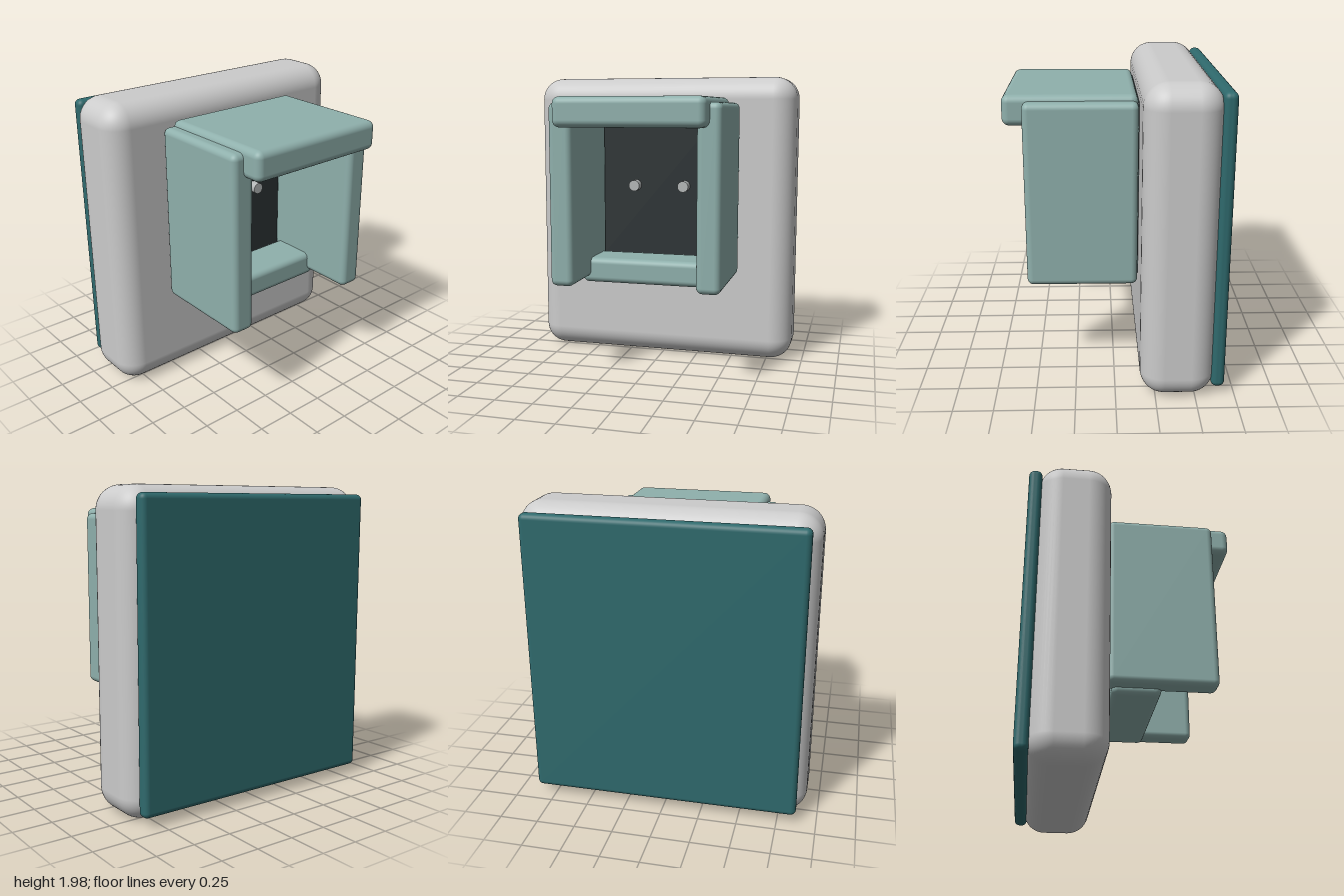
import * as THREE from 'three';
import { RoundedBoxGeometry } from 'three/addons/geometries/RoundedBoxGeometry.js';

const material = (color) => new THREE.MeshStandardMaterial({ color });

export function createModel() {
  const model = new THREE.Group();
  model.name = 'wallDock';

  const shell = material(0xd3d7d5);
  const sage = material(0x8fb0ac);
  const teal = material(0x2f6a6d);
  const dark = material(0x2b3234);
  const metal = material(0xb4b8b8);

  // Rounded box given by its extents on each axis
  function block(name, mat, [x0, x1], [y0, y1], [z0, z1], radius, segments = 4) {
    const geometry = new RoundedBoxGeometry(x1 - x0, y1 - y0, z1 - z0, segments, radius);
    const mesh = new THREE.Mesh(geometry, mat);
    mesh.position.set((x0 + x1) / 2, (y0 + y1) / 2, (z0 + z1) / 2);
    mesh.name = name;
    model.add(mesh);
    return mesh;
  }

  // Main housing and the plate on its back
  block('housing', shell, [-0.925, 0.925], [0.02, 2.0], [-0.62, -0.155], 0.15, 6);
  block('backPlate', teal, [-0.87, 0.87], [0.08, 1.95], [-0.685, -0.6], 0.035);

  // Dark panel at the back of the cradle
  block('contactPanel', dark, [-0.47, 0.47], [0.69, 1.81], [-0.18, -0.14], 0.01, 2);

  // Cradle: top hood and short bottom ledge
  block('cradleTop', sage, [-0.485, 0.485], [1.67, 1.86], [-0.148, 0.682], 0.045);
  block('cradleLedge', sage, [-0.465, 0.465], [0.605, 0.775], [-0.113, 0.203], 0.04);

  for (const [side, s] of [['left', 1], ['right', -1]]) {
    // Cradle side wall
    const wall = block(side + 'CradleWall', sage, [0.402, 0.558], [0.645, 1.825], [-0.148, 0.555], 0.04);
    wall.position.x *= s;

    // Contact pin standing out of the panel
    const pin = new THREE.Mesh(new THREE.CylinderGeometry(0.038, 0.038, 0.08, 24), metal);
    pin.rotation.x = Math.PI / 2;
    pin.position.set(0.175 * s, 1.25, -0.115);
    pin.name = side + 'ContactPin';
    model.add(pin);
  }

  return model;
}
